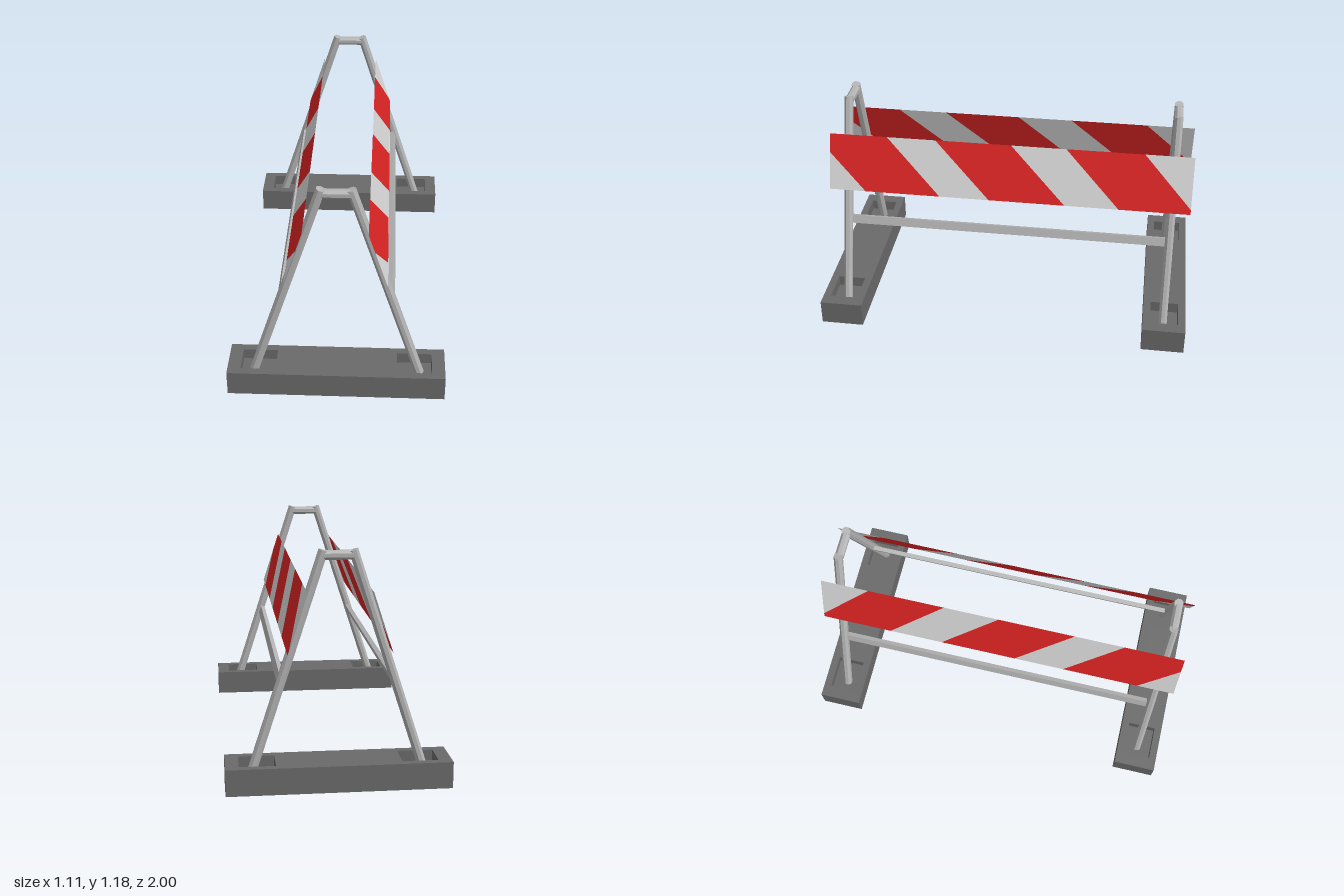
import * as THREE from 'three';

const mat = (name, color, side = THREE.FrontSide) => {
  const m = new THREE.MeshStandardMaterial({ color, side, flatShading: true });
  m.name = name;
  return m;
};

// Leg axis on the +x side, from the foot in its socket to the top
const FOOT = new THREE.Vector2(0.427, 0.075);
const TOP = new THREE.Vector2(0.072, 1.173);
const LEAN = Math.atan2(FOOT.x - TOP.x, TOP.y - FOOT.y);
const R = 0.0225; // tube radius to the flat sides
const LEG_Z = 0.88;
const axisX = (y) => FOOT.x - (y - FOOT.y) * Math.tan(LEAN);

export function createModel() {
  const model = new THREE.Group();
  const metal = mat('galvanised grey', 0xb4b4b4);
  const rubber = mat('dark grey rubber', 0x6a6a6a);
  const red = mat('reflective red', 0xdd2424, THREE.DoubleSide);
  const white = mat('reflective white', 0xd8d8d8, THREE.DoubleSide);

  const add = (parent, name, geometry, material, x = 0, y = 0, z = 0) => {
    const mesh = new THREE.Mesh(geometry, material);
    mesh.name = name;
    mesh.position.set(x, y, z);
    parent.add(mesh);
    return mesh;
  };

  // Octagonal tube with flat sides facing the axes
  const tube = (length) =>
    new THREE.CylinderGeometry(R / Math.cos(Math.PI / 8), R / Math.cos(Math.PI / 8), length, 8)
      .rotateY(Math.PI / 8);

  const rect = (path, x0, x1, y0, y1) => {
    path.moveTo(x0, y0);
    path.lineTo(x1, y0);
    path.lineTo(x1, y1);
    path.lineTo(x0, y1);
    path.closePath();
    return path;
  };

  // Foot block upper layer with two sockets
  const blockShape = rect(new THREE.Shape(), -0.557, 0.557, -0.115, 0.115);
  for (const s of [-1, 1]) {
    blockShape.holes.push(rect(new THREE.Path(), s * 0.4 - 0.09, s * 0.4 + 0.09, -0.075, 0.075));
  }
  const upper = new THREE.ExtrudeGeometry(blockShape, { depth: 0.06, bevelEnabled: false })
    .rotateX(-Math.PI / 2);

  // End frames
  for (const end of [1, -1]) {
    const frame = new THREE.Group();
    frame.name = end > 0 ? 'frontFrame' : 'backFrame';
    model.add(frame);
    add(frame, 'footBlockBottom', new THREE.BoxGeometry(1.114, 0.075, 0.23), rubber, 0, 0.0375, end * 0.885);
    add(frame, 'footBlockTop', upper, rubber, 0, 0.075, end * 0.885);
    for (const s of [1, -1]) {
      const leg = add(frame, s > 0 ? 'leftLeg' : 'rightLeg', tube(FOOT.distanceTo(TOP)), metal,
        s * (FOOT.x + TOP.x) / 2, (FOOT.y + TOP.y) / 2, end * LEG_Z);
      leg.rotation.z = s * LEAN;
    }
    add(frame, 'topBar', tube(0.14).rotateZ(Math.PI / 2), metal, 0, 1.149, end * LEG_Z);
  }

  // Stripe outlines as [z, y]
  const T = 0.985, B = 0.69, E = 0.98;
  const redStripes = [
    [[E, T], [0.665, T], [0.37, B], [0.78, B], [E, 0.887]],
    [[0.4, T], [-0.01, T], [-0.31, B], [0.1, B]],
    [[-0.305, T], [-0.72, T], [-E, 0.715], [-E, B], [-0.6, B]],
  ];
  const whiteStripes = [
    [[E, 0.887], [0.78, B], [E, B]],
    [[0.665, T], [0.4, T], [0.1, B], [0.37, B]],
    [[-0.01, T], [-0.305, T], [-0.6, B], [-0.31, B]],
    [[-0.72, T], [-E, T], [-E, 0.715]],
  ];

  // Lay a flat stripe on the outer side of the legs
  const stripe = (points, s) => {
    const shape = new THREE.Shape(points.map(([z, y]) => new THREE.Vector2(z, y)));
    const g = new THREE.ShapeGeometry(shape);
    const p = g.attributes.position;
    for (let i = 0; i < p.count; i++) {
      const z = p.getX(i), y = p.getY(i);
      p.setXYZ(i, s * (axisX(y) + (R + 0.001) / Math.cos(LEAN)), y, z);
    }
    g.computeVertexNormals();
    return g;
  };

  // Striped boards and lower rails
  for (const s of [1, -1]) {
    const board = new THREE.Group();
    board.name = s > 0 ? 'leftBoard' : 'rightBoard';
    model.add(board);
    redStripes.forEach((pts) => add(board, 'redStripe', stripe(pts, s), red));
    whiteStripes.forEach((pts) => add(board, 'whiteStripe', stripe(pts, s), white));

    const rail = add(model, s > 0 ? 'leftRail' : 'rightRail',
      new THREE.BoxGeometry(0.024, 0.045, 1.72), metal, s > 0 ? 0.274 : -0.282, 0.52, 0);
    rail.rotation.z = s * LEAN;
  }

  return model;
}
